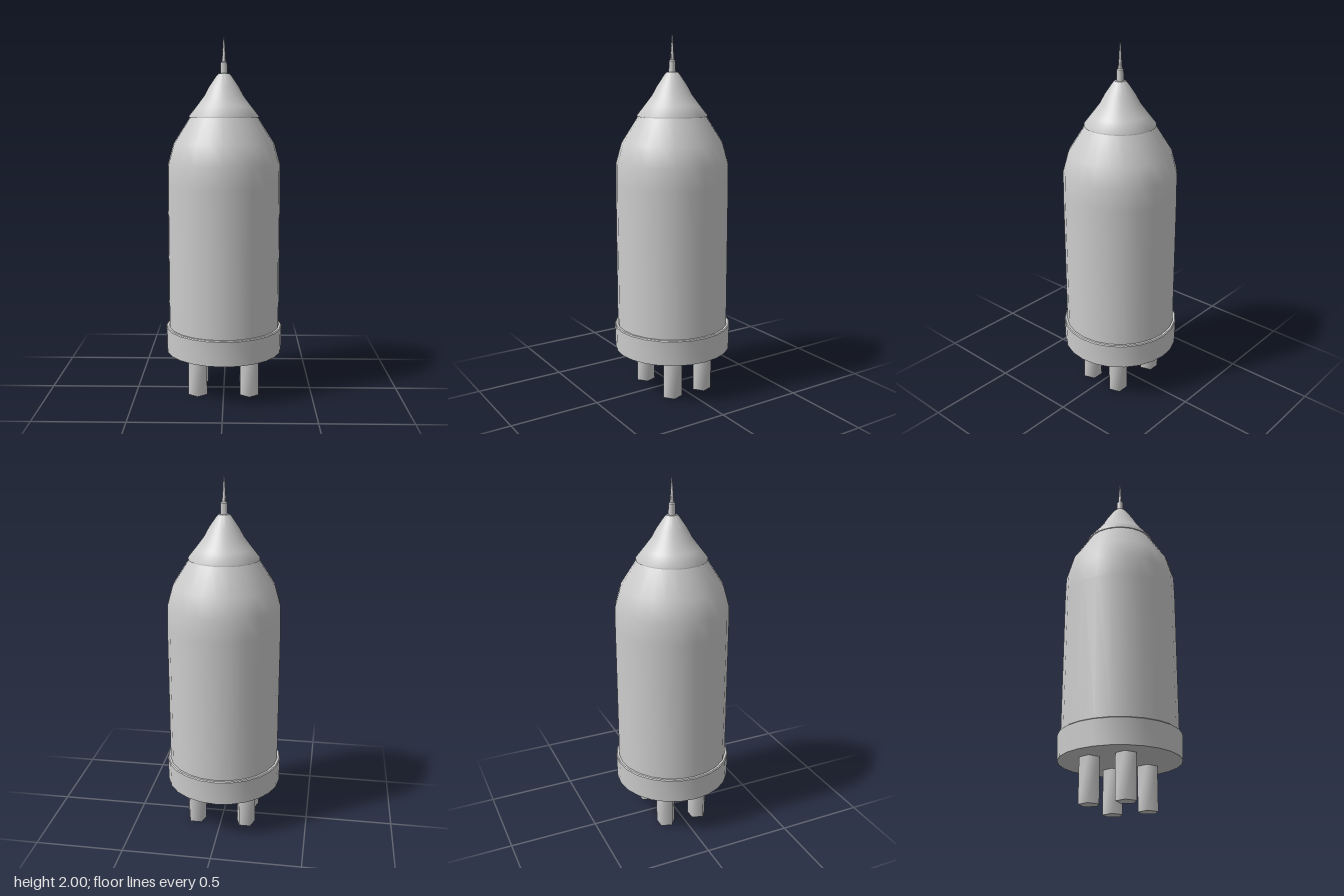
import * as THREE from 'three';
import { toCreasedNormals } from 'three/addons/utils/BufferGeometryUtils.js';

const material = new THREE.MeshStandardMaterial({ color: 0xcccccc });

// Solid of revolution from [radius, height] points, bottom to top
function turned(name, profile, sides, crease = 0.7) {
  const points = profile.map(([r, y]) => new THREE.Vector2(r, y));
  const geometry = toCreasedNormals(new THREE.LatheGeometry(points, sides), crease);
  const mesh = new THREE.Mesh(geometry, material);
  mesh.name = name;
  return mesh;
}

export function createModel() {
  const rocket = new THREE.Group();
  rocket.name = 'rocket';

  // Base collar with a closed underside and a narrow ledge on top
  rocket.add(turned('baseCollar', [
    [0, 0.24], [0.329, 0.24], [0.332, 0.378], [0.327, 0.383], [0.3, 0.383],
  ], 24));

  // Hull: straight sides and a tapering shoulder
  rocket.add(turned('hull', [
    [0.315, 0.37], [0.315, 1.19], [0.312, 1.31], [0.281, 1.42], [0.187, 1.568], [0, 1.568],
  ], 24));

  // Nose cone, overhanging the shoulder slightly
  rocket.add(turned('noseCone', [
    [0, 1.564], [0.194, 1.564], [0.194, 1.572], [0.152, 1.625], [0.11, 1.68],
    [0.083, 1.73], [0.043, 1.789], [0.03, 1.803], [0, 1.805],
  ], 48));

  // Antenna: thick socket and thin tapered needle
  rocket.add(turned('antennaSocket', [
    [0.02, 1.795], [0.018, 1.862], [0.012, 1.868], [0, 1.868],
  ], 16));
  rocket.add(turned('antennaNeedle', [
    [0.012, 1.86], [0.008, 1.91], [0.003, 1.994], [0, 2],
  ], 12));

  // Four five-sided legs under the collar
  const legShape = toCreasedNormals(new THREE.CylinderGeometry(0.056, 0.056, 0.26, 5), 1.4);
  for (const x of [-0.146, 0.146]) {
    for (const z of [-0.105, 0.097]) {
      const leg = new THREE.Mesh(legShape, material);
      leg.name = (z > 0 ? 'front' : 'back') + (x > 0 ? 'Left' : 'Right') + 'Leg';
      leg.position.set(x, 0.13, z);
      rocket.add(leg);
    }
  }
  return rocket;
}
